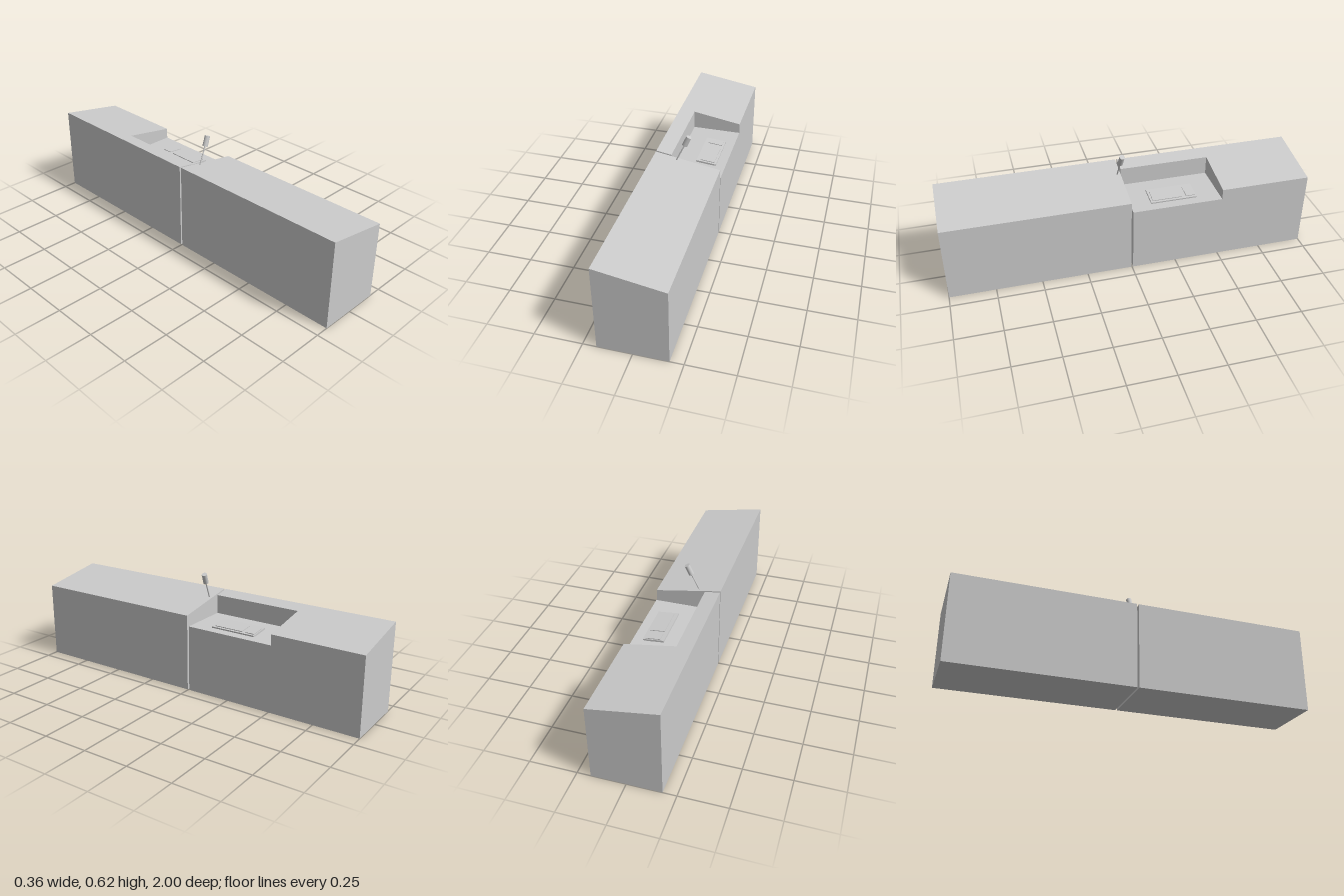
import * as THREE from 'three';

const material = new THREE.MeshStandardMaterial({ color: 0xcccccc, flatShading: true });
const smooth = new THREE.MeshStandardMaterial({ color: 0xcccccc });

const HALF = 0.18, FLOOR = 0.367, LEDGE = -0.095;
const topAt = (x) => 0.455 - x * (0.06 / 0.36); // sloping counter top

// Extrudes an x-y profile from z0 to z1
function section(name, profile, z0, z1) {
  const shape = new THREE.Shape(profile.map(([x, y]) => new THREE.Vector2(x, y)));
  const geometry = new THREE.ExtrudeGeometry(shape, { depth: z1 - z0, bevelEnabled: false });
  const mesh = new THREE.Mesh(geometry.translate(0, 0, z0), material);
  mesh.name = name;
  return mesh;
}

// Cylinder running between two points
function rod(name, a, b, radius, sides) {
  const dir = b.clone().sub(a);
  const mesh = new THREE.Mesh(new THREE.CylinderGeometry(radius, radius, dir.length(), sides), smooth);
  mesh.position.copy(a).add(b).multiplyScalar(0.5);
  mesh.quaternion.setFromUnitVectors(new THREE.Vector3(0, 1, 0), dir.normalize());
  mesh.name = name;
  return mesh;
}

function slab(name, w, h, d, x, y, z) {
  const mesh = new THREE.Mesh(new THREE.BoxGeometry(w, h, d), material);
  mesh.position.set(x, y, z);
  mesh.name = name;
  return mesh;
}

export function createModel() {
  const model = new THREE.Group();
  model.name = 'counter';

  // Counter sections: three full height, one cut down to a work surface
  const full = [[-HALF, 0], [HALF, 0], [HALF, topAt(HALF)], [-HALF, topAt(-HALF)]];
  const cut = [[-HALF, 0], [HALF, 0], [HALF, FLOOR], [LEDGE, FLOOR], [LEDGE, topAt(LEDGE)], [-HALF, topAt(-HALF)]];
  model.add(
    section('frontSection', full, 0.502, 1),
    section('middleSection', full, 0.004, 0.502),
    section('recessedSection', cut, -0.504, -0.006),
    section('backSection', full, -1, -0.504)
  );

  // Control panel, tilted towards the open side
  const panel = new THREE.Group();
  panel.name = 'controlPanel';
  panel.add(
    slab('panelBase', 0.113, 0.01, 0.255, 0, 0, 0),
    slab('panelKeypad', 0.08, 0.005, 0.165, 0.004, 0.0065, 0.033),
    slab('panelDisplay', 0.08, 0.005, 0.05, 0.004, 0.0065, -0.097)
  );
  panel.position.set(0.071, 0.375, -0.247);
  panel.rotation.z = -0.1;
  model.add(panel);

  // Microphone leaning over the gap
  const base = new THREE.Vector3(-0.06, 0.46, 0.023);
  const neck = new THREE.Vector3(-0.0145, 0.5575, 0.016);
  const tip = new THREE.Vector3(0.008, 0.61, 0.012);
  const microphone = new THREE.Group();
  microphone.name = 'microphone';
  microphone.add(rod('microphoneStem', base, neck, 0.0035, 16), rod('microphoneHead', neck, tip, 0.0145, 32));
  model.add(microphone);

  return model;
}
